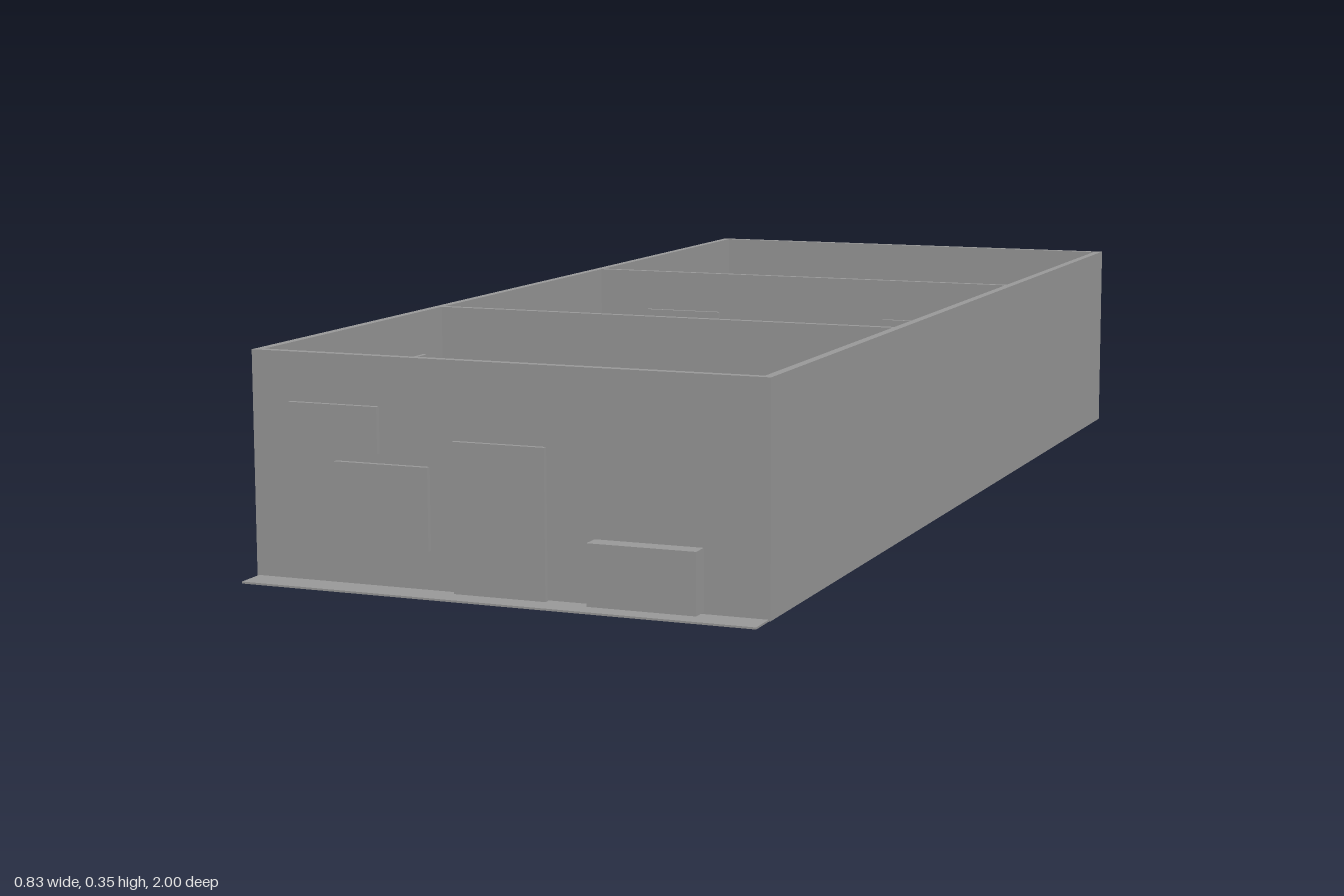
import * as THREE from 'three';

export function createModel() {
  const model = new THREE.Group();
  model.name = 'openHouse';
  const grey = new THREE.MeshStandardMaterial({ color: 0x999999 });
  grey.name = 'grey';

  const add = (name, geometry, x, y, z, parent = model) => {
    const mesh = new THREE.Mesh(geometry, grey);
    mesh.name = name;
    mesh.position.set(x, y, z);
    parent.add(mesh);
    return mesh;
  };
  // Box from its lower and upper limits on each axis
  const box = (name, x0, x1, y0, y1, z0, z1) =>
    add(name, new THREE.BoxGeometry(x1 - x0, y1 - y0, z1 - z0),
      (x0 + x1) / 2, (y0 + y1) / 2, (z0 + z1) / 2);

  const FLOOR = 0.007, TOP = 0.352, W = 0.415, T = 0.014;

  // Floor slabs, the front one running out as a porch
  for (const [z0, z1] of [[-1, -0.316], [-0.316, 0.352], [0.352, 1]])
    box('floor', -0.412, 0.412, 0.004, FLOOR, z0, z1);

  // Outer walls, one length per room, and cross walls
  for (const [z0, z1] of [[-1, -0.316], [-0.316, 0.352], [0.352, 0.95]]) {
    box('rightWall', -W, -W + T, 0.005, TOP, z0, z1);
    box('leftWall', W - T, W, 0.005, TOP, z0, z1);
  }
  box('backWall', -W + T, W - T, 0.005, TOP, -1, -1 + T);
  box('frontWall', -W + T, W - T, 0.005, TOP, 0.95 - T, 0.95);
  box('rearPartition', -W + T, W - T, FLOOR, TOP, -0.322, -0.31);
  box('frontPartition', -W + T, W - T, FLOOR, TOP, 0.346, 0.358);

  // Doors
  for (const z of [0.97, 0.365, 0.335, -0.304, -0.328, -0.965])
    box('door', -0.07, 0.077, 0.01, 0.236, z - 0.004, z + 0.004);

  // Panels on the walls that run across: x0, x1, y0, y1, z
  const crossPanels = [
    [-0.342, -0.193, 0.21, 0.28, 0.97], [-0.265, -0.111, 0.07, 0.195, 0.97],
    [-0.302, -0.155, 0.11, 0.28, -0.304], [0.17, 0.315, 0.11, 0.28, -0.304],
    [-0.25, -0.18, 0.11, 0.28, -0.327], [0.105, 0.14, 0.12, 0.175, -0.327],
    [-0.34, -0.185, 0.11, 0.216, -0.967], [0.193, 0.355, 0.11, 0.216, -0.967],
  ];
  for (const [x0, x1, y0, y1, z] of crossPanels)
    box('wallPanel', x0, x1, y0, y1, z - 0.004, z + 0.004);

  // Panels on the side walls: side, z0, z1, y0, y1
  const sidePanels = [
    [-1, -0.9, -0.75, 0.17, 0.278], [-1, -0.54, -0.4, 0.17, 0.275],
    [-1, 0.43, 0.585, 0.13, 0.28], [-1, 0.75, 0.9, 0.13, 0.28],
    [1, -0.91, -0.77, 0.14, 0.26], [1, -0.48, -0.39, 0.17, 0.26],
    [1, -0.53, -0.45, 0.09, 0.155], [1, 0.03, 0.17, 0.16, 0.25],
    [1, 0.2, 0.285, 0.2, 0.265], [1, 0.21, 0.31, 0.11, 0.18],
    [1, 0.43, 0.57, 0.13, 0.285], [1, 0.76, 0.9, 0.13, 0.285],
  ];
  for (const [side, z0, z1, y0, y1] of sidePanels) {
    const x = side * 0.397;
    box('sidePanel', x - 0.004, x + 0.004, y0, y1, z0, z1);
  }

  // Bench through the front wall
  box('bench', 0.145, 0.314, 0.01, 0.103, 0.905, 0.98);

  // Back room furniture
  box('chest', -0.345, -0.18, FLOOR, 0.118, -0.96, -0.89);
  box('chest', 0.193, 0.36, FLOOR, 0.118, -0.96, -0.89);
  box('chest', 0.19, 0.355, FLOOR, 0.112, -0.4, -0.33);
  box('counter', -0.365, -0.2, FLOOR, 0.1, -0.4, -0.33);
  box('longTable', -0.175, 0.16, FLOOR, 0.085, -0.65, -0.52);

  // Middle room furniture
  box('cabinet', -0.408, -0.336, 0, 0.265, 0.142, 0.312);
  box('counter', -0.405, -0.338, FLOOR, 0.1, -0.033, 0.132);
  box('cabinet', 0.325, 0.397, FLOOR, 0.24, -0.29, -0.125);
  box('counter', 0.325, 0.395, FLOOR, 0.1, -0.103, 0.062);
  box('centreTable', -0.14, 0.12, FLOOR, 0.095, -0.015, 0.11);
  box('desk', 0.275, 0.345, FLOOR, 0.09, 0.27, 0.342);
  box('stool', 0.245, 0.29, FLOOR, 0.07, 0.21, 0.25);
  add('barrel', new THREE.CylinderGeometry(0.039, 0.039, 0.095, 24), -0.335, 0.0545, -0.24);
  for (const x of [-0.08, -0.015, 0.05])
    add('bottle', new THREE.CylinderGeometry(0.006, 0.006, 0.016, 12), x, 0.103, 0.055);

  // Things on the counters: a small tray and two cups
  const cup = (r, x, z) => add('cup', new THREE.CylinderGeometry(r, r, 0.015, 16), x, 0.1075, z);
  box('tray', -0.345, -0.322, 0.1, 0.112, -0.39, -0.342);
  cup(0.012, -0.23, -0.373);
  cup(0.007, -0.216, -0.35);
  box('tray', -0.385, -0.365, 0.1, 0.112, 0.066, 0.115);
  cup(0.012, -0.38, -0.008);
  cup(0.007, -0.364, 0.017);
  box('tray', 0.358, 0.381, 0.1, 0.112, -0.005, 0.045);
  cup(0.012, 0.36, -0.075);
  cup(0.007, 0.376, -0.055);

  // Standing figure in the back room
  const figure = new THREE.Group();
  figure.name = 'figure';
  figure.position.set(0, FLOOR, -0.8);
  model.add(figure);
  add('head', new THREE.SphereGeometry(0.013, 16, 12), 0, 0.184, 0, figure);
  add('torso', new THREE.CylinderGeometry(0.019, 0.013, 0.06, 12), 0, 0.137, 0, figure)
    .scale.z = 0.65;
  add('hips', new THREE.SphereGeometry(0.015, 12, 8), 0, 0.105, 0, figure).scale.z = 0.7;
  const limb = (name, points, r) => {
    const path = new THREE.CatmullRomCurve3(points.map(p => new THREE.Vector3(...p)));
    add(name, new THREE.TubeGeometry(path, 10, r, 8), 0, 0, 0, figure);
    add(name + 'End', new THREE.SphereGeometry(r * 1.2, 8, 6), ...points[points.length - 1], figure);
  };
  for (const s of [-1, 1]) {
    limb('arm', [[s * 0.014, 0.16, -0.008], [s * 0.034, 0.135, -0.006], [s * 0.045, 0.1, 0.012]], 0.005);
    limb('leg', [[s * 0.008, 0.105, 0], [s * 0.013, 0.055, 0.003], [s * 0.016, 0.008, 0]], 0.007);
  }
  return model;
}
